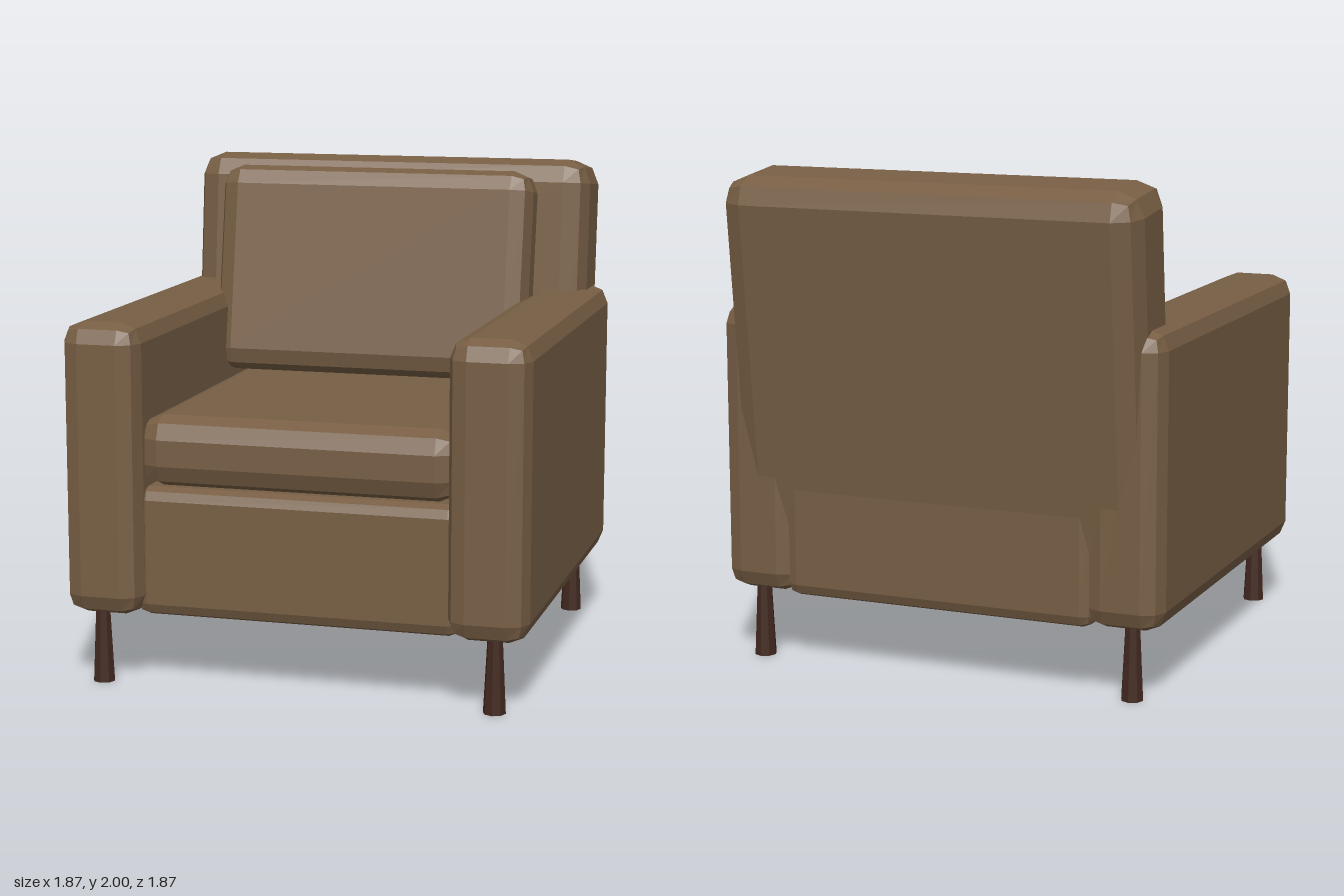
import * as THREE from 'three';
import { RoundedBoxGeometry } from 'three/addons/geometries/RoundedBoxGeometry.js';

export function createModel() {
  const chair = new THREE.Group();
  chair.name = 'armchair';

  const fabric = new THREE.MeshStandardMaterial({ color: 0x775e44 });
  fabric.name = 'brown fabric';
  const wood = new THREE.MeshStandardMaterial({ color: 0x42291f });
  wood.name = 'dark wood';

  // Upholstered block with faceted, two-step rounded edges
  function block(name, size, radius, position, tilt = 0) {
    const geometry = new RoundedBoxGeometry(...size, 1, radius);
    geometry.computeVertexNormals(); // unshared vertices, so facets stay flat
    const mesh = new THREE.Mesh(geometry, fabric);
    mesh.name = name;
    mesh.position.set(...position);
    mesh.rotation.x = tilt;
    chair.add(mesh);
  }

  // Body and cushions
  block('base', [1.32, 0.52, 1.67], 0.05, [0, 0.54, 0.025]);
  block('seatCushion', [1.3, 0.285, 1.4], 0.09, [0, 0.9425, 0.165]);
  block('backrest', [1.74, 1.5, 0.4], 0.1, [0, 1.2435, -0.665], -0.107);
  block('backCushion', [1.36, 0.88, 0.254], 0.085, [0, 1.528, -0.343], -0.175);

  // Arms and tapered legs, mirrored left and right
  const legGeometry = new THREE.CylinderGeometry(0.03, 0.045, 0.3, 8).toNonIndexed();
  legGeometry.computeVertexNormals();
  for (const [side, s] of [['left', 1], ['right', -1]]) {
    block(side + 'Arm', [0.32, 1.17, 1.755], 0.08, [s * 0.777, 0.87, 0.0625]);
    for (const [end, z] of [['Front', 0.85], ['Back', -0.725]]) {
      const leg = new THREE.Mesh(legGeometry, wood);
      leg.name = side + end + 'Leg';
      leg.position.set(s * 0.8, 0.15, z);
      chair.add(leg);
    }
  }
  return chair;
}
